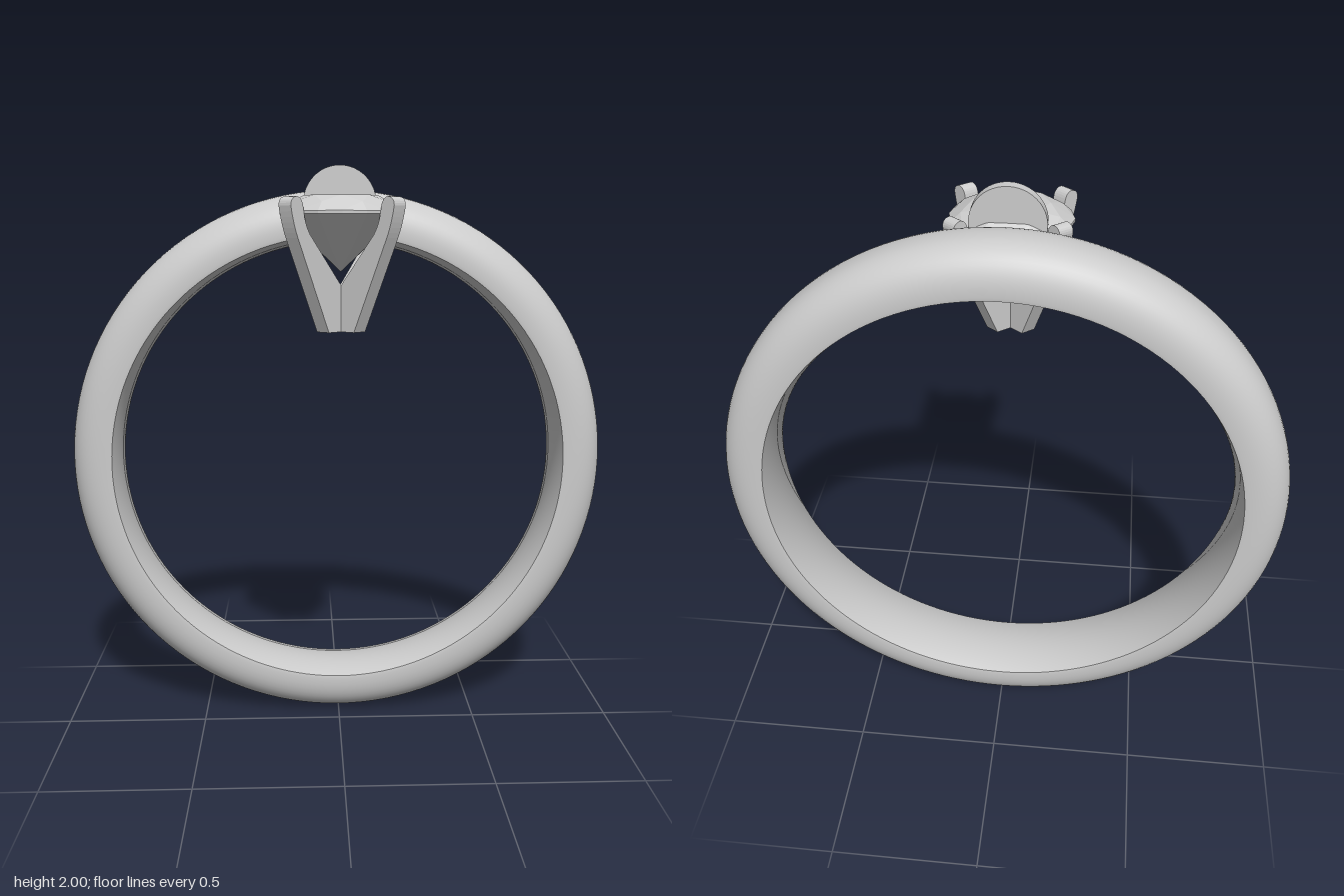
import * as THREE from 'three';
import { ConvexGeometry } from 'three/addons/geometries/ConvexGeometry.js';

const material = new THREE.MeshStandardMaterial({ color: 0xcccccc });

function addMesh(parent, name, geometry) {
  const mesh = new THREE.Mesh(geometry, material);
  mesh.name = name;
  parent.add(mesh);
  return mesh;
}

// Band: rounded outer shell and slightly domed inner shell, meeting at a crease
function createBand() {
  const band = new THREE.Group();
  band.name = 'band';
  const half = 0.13, crease = 0.808, shoulder = 0.82, steps = 24;
  const outer = [new THREE.Vector2(crease, -half * 0.985)];
  const inner = [];
  for (let i = 0; i <= steps; i++) {
    const a = Math.PI * (i / steps - 0.5);
    const s = Math.sin(a), c = Math.max(0, Math.cos(a));
    outer.push(new THREE.Vector2(
      shoulder + 0.142 * Math.pow(c, 0.85),
      half * Math.sign(s) * Math.pow(Math.abs(s), 0.85)));
    const t = 1 - 2 * i / steps;
    inner.push(new THREE.Vector2(0.785 + (crease - 0.785) * t * t, half * 0.985 * t));
  }
  outer.push(new THREE.Vector2(crease, half * 0.985));
  addMesh(band, 'bandOuter', new THREE.LatheGeometry(outer, 128));
  addMesh(band, 'bandInner', new THREE.LatheGeometry(inner, 128));
  band.rotation.x = Math.PI / 2;
  band.position.set(0, 0.965, -0.155);
  return band;
}

// Faceted oval stone: convex hull of the facet corner rings
function createStone() {
  const points = [new THREE.Vector3(0, 1.655, 0)];
  const ring = (radius, y, count, offset = 0) => {
    for (let i = 0; i < count; i++) {
      const a = (i + offset) / count * Math.PI * 2;
      points.push(new THREE.Vector3(radius * Math.cos(a), y, radius * Math.sin(a)));
    }
  };
  ring(0.122, 1.9, 8);
  ring(0.168, 1.878, 8, 0.5);
  ring(0.2, 1.85, 16);
  ring(0.2, 1.84, 16);
  ring(0.06, 1.708, 8, 0.5);
  return new ConvexGeometry(points);
}

// One claw, outlined in its radial plane and given thickness
function createProng() {
  const width = 0.055;
  const s = new THREE.Shape();
  s.moveTo(0, 1.46);
  s.lineTo(0.085, 1.46);
  s.lineTo(0.225, 1.765);
  s.quadraticCurveTo(0.245, 1.81, 0.255, 1.865);
  s.quadraticCurveTo(0.255, 1.89, 0.228, 1.893);
  s.quadraticCurveTo(0.205, 1.89, 0.2, 1.86);
  s.quadraticCurveTo(0.195, 1.81, 0.17, 1.775);
  s.lineTo(0.03, 1.615);
  s.lineTo(0, 1.6);
  s.closePath();
  const g = new THREE.ExtrudeGeometry(s, { depth: width, bevelEnabled: false, curveSegments: 6 });
  return g.translate(0, 0, -width / 2);
}

export function createModel() {
  const model = new THREE.Group();
  model.name = 'ring';
  model.add(createBand());

  // Oval setting: stone and four diagonal claws, narrowed front to back
  const setting = new THREE.Group();
  setting.name = 'setting';
  setting.position.z = 0.125;
  setting.scale.z = 0.8;
  addMesh(setting, 'stone', createStone());
  const prongGeometry = createProng();
  for (let i = 0; i < 4; i++) {
    addMesh(setting, 'prong' + (i + 1), prongGeometry).rotation.y = (i + 0.5) * Math.PI / 2;
  }
  model.add(setting);

  // Upright disc behind the stone
  const disc = addMesh(model, 'disc', new THREE.CylinderGeometry(0.122, 0.122, 0.035, 48));
  disc.rotation.x = Math.PI / 2;
  disc.position.set(0, 1.878, 0.022);
  return model;
}
